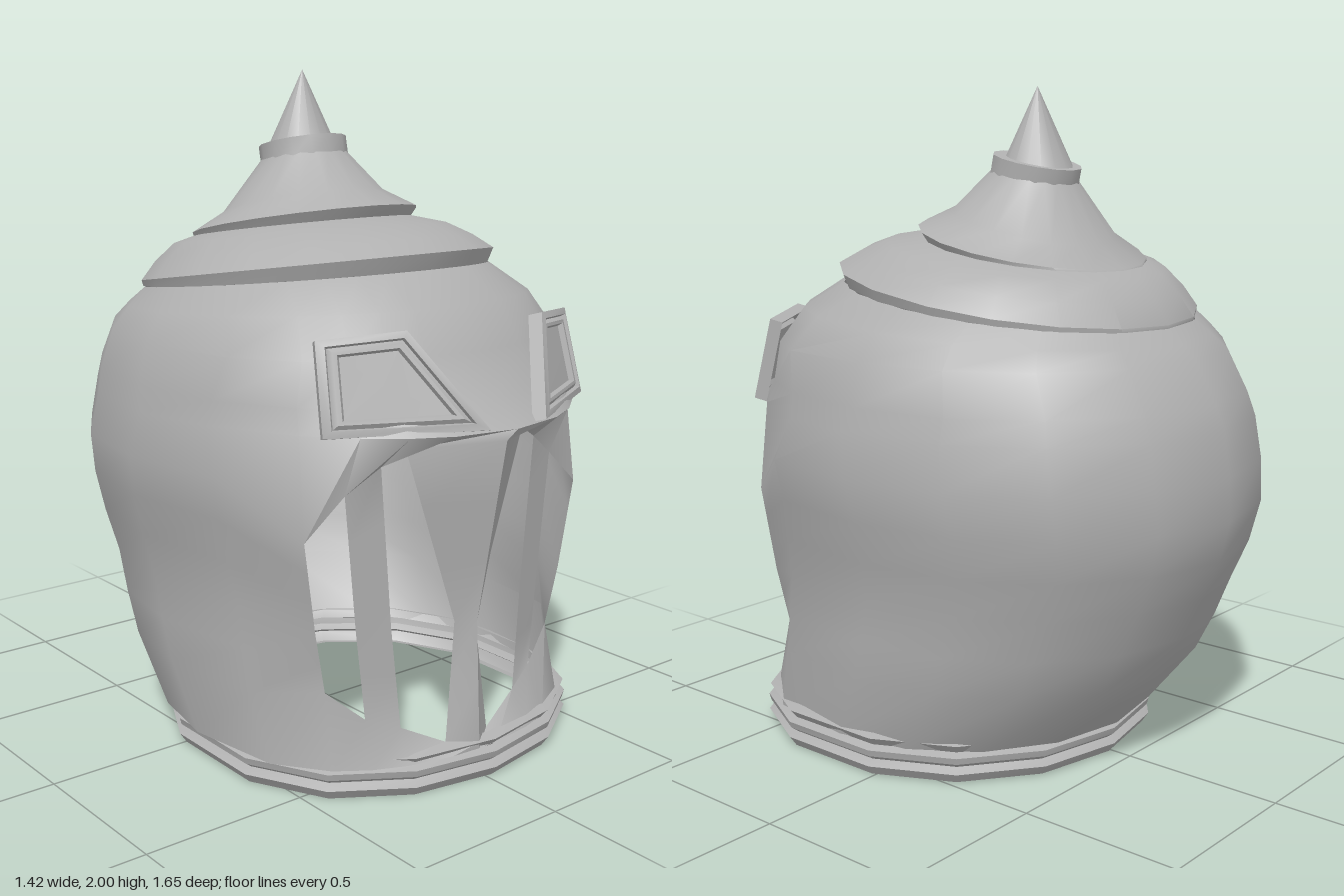
import * as THREE from 'three';
import { toCreasedNormals } from 'three/addons/utils/BufferGeometryUtils.js';

const { lerp, degToRad } = THREE.MathUtils;
const steel = new THREE.MeshStandardMaterial({ color: 0xb0b0b0, side: THREE.DoubleSide });
steel.name = 'steel grey';

// Quad mesh over a grid of points; skip(row, column) leaves an opening
function gridGeometry(rows, skip = () => false) {
  const n = rows[0].length, index = [];
  for (let i = 0; i < rows.length - 1; i++) {
    for (let j = 0; j < n - 1; j++) {
      if (skip(i, j)) continue;
      const a = i * n + j, d = a + n;
      index.push(a, a + 1, d + 1, a, d + 1, d);
    }
  }
  const geo = new THREE.BufferGeometry();
  geo.setAttribute('position', new THREE.Float32BufferAttribute(rows.flat(2), 3));
  geo.setIndex(index);
  return toCreasedNormals(geo, 0.65);
}

function part(name, geo) {
  const mesh = new THREE.Mesh(geo, steel);
  mesh.name = name;
  return mesh;
}

// Horizontal or tilted section: [front y, back y, half width, front z, back z, front roundness]
function sectionPoint([yf, yb, w, zf, zb, p], t) {
  const c = (zf + zb) / 2, d = (zf - zb) / 2, k = Math.cos(t);
  const z = c + d * Math.sign(k) * Math.pow(Math.abs(k), k > 0 ? p : 0.95);
  return [w * Math.sin(t), lerp(yb, yf, (z - zb) / (zf - zb)), z];
}

// Wall profile by height: [y, half width, front z, back z, roundness]
const WALL = [
  [0.10, 0.60, 0.73, -0.45, 0.7],
  [0.33, 0.63, 0.71, -0.645, 0.7],
  [0.55, 0.635, 0.70, -0.74, 0.7],
  [0.75, 0.68, 0.74, -0.83, 0.8],
  [0.92, 0.71, 0.79, -0.82, 0.87],
  [1.05, 0.69, 0.82, -0.80, 1.15],
  [1.12, 0.675, 0.735, -0.77, 0.95],
  [1.24, 0.645, 0.665, -0.70, 0.74],
];
function wallSection(y) {
  let i = 0;
  while (i < WALL.length - 2 && y > WALL[i + 1][0]) i++;
  const A = WALL[i], B = WALL[i + 1], t = (y - A[0]) / (B[0] - A[0]);
  return [y, y, ...[1, 2, 3, 4].map((k) => lerp(A[k], B[k], t))];
}

// Columns of one half: angle above the face, opening bottom and top, and for
// face columns the x and z at bottom, middle and top, plus sideways shift
const HALF = [
  { deg: 0, lo: 0.12, hi: 1.02, x: [0, 0, 0], z: [0.73, 0.71, 0.81], shift: -0.03 },
  { deg: 16, lo: 0.13, hi: 1.0, x: [0.08, 0.04, 0.22], z: [0.685, 0.67, 0.66], shift: -0.04 },
  { deg: 26, lo: 0.20, hi: 0.96, x: [0.22, 0.25, 0.29], z: [0.65, 0.64, 0.64], shift: -0.04 },
  { deg: 36, lo: 0.24, hi: 0.89, x: [0.32, 0.35, 0.39], z: [0.615, 0.61, 0.61], shift: -0.04 },
  { deg: 48, lo: 0.32, hi: 0.77, x: [0.435, 0.475, 0.52], z: [0.55, 0.56, 0.57], shift: -0.015 },
  ...[68, 90, 112, 134, 157, 180].map((deg) => ({ deg, lo: 0.3, hi: 0.92 })),
];
const COLS = [
  ...HALF.slice(1).reverse().map((c) => ({ ...c, side: -1 })),
  ...HALF.map((c) => ({ ...c, side: 1 })),
];
const CENTRE = HALF.length - 1;
const angles = COLS.map((c) => c.side * degToRad(c.deg));

function wallPoint(col, v) {
  const y = lerp(col.lo, col.hi, v);
  if (!col.x) return sectionPoint(wallSection(y), col.side * degToRad(col.deg));
  const along = ([a, b, c]) => (v < 0.4 ? lerp(a, b, v / 0.4) : lerp(b, c, (v - 0.4) / 0.6));
  return [col.side * along(col.x) + col.shift, y, along(col.z)];
}

// Bottom edge of the wall, following the face columns
function footPoint(col) {
  const s = wallSection(0.1);
  const t = col.x ? Math.asin((col.side * col.x[0] + col.shift) / s[2]) : degToRad(col.deg) * col.side;
  return sectionPoint(s, t);
}

// Skull wall with the two barred face openings
function wallGeometry() {
  const steps = [0, 0.2, 0.4, 0.6, 0.8, 1];
  const rows = [COLS.map(footPoint)];
  for (const v of steps) rows.push(COLS.map((c) => wallPoint(c, v)));
  const upper = [
    wallSection(1.05),
    wallSection(1.12),
    wallSection(1.24),
    [1.36, 1.28, 0.59, 0.595, -0.655, 0.82],
    [1.445, 1.32, 0.52, 0.465, -0.605, 0.92],
  ];
  for (const s of upper) rows.push(angles.map((t) => sectionPoint(s, t)));
  return gridGeometry(rows, (i, j) => {
    const k = j >= CENTRE ? j - CENTRE : CENTRE - 1 - j;
    return i >= 1 && i <= steps.length - 1 && (k === 1 || k === 3);
  });
}

// Closed ring loft through sections
function loft(sections, segments) {
  return gridGeometry(sections.map((s) => Array.from({ length: segments + 1 },
    (_, j) => sectionPoint(s, -Math.PI + (j / segments) * Math.PI * 2))));
}

// Raised trapezoid frame around a sunken eye panel
function eyeGeometry(side) {
  const P = [[0.10, 1.06, 0.815], [0.49, 1.05, 0.59], [0.47, 1.30, 0.53], [0.25, 1.32, 0.645]]
    .map((p) => new THREE.Vector3(...p));
  const mid = P.reduce((m, p) => m.addScaledVector(p, 0.25), new THREE.Vector3());
  const normal = P[1].clone().sub(P[0]).cross(P[3].clone().sub(P[0])).normalize();
  // [scale toward the middle, height above the frame plane]
  const steps = [[1, -0.03], [1, 0.01], [0.86, 0.015], [0.83, 0.0], [0.75, 0.01],
    [0.68, 0.01], [0.64, -0.005], [0.001, -0.005]];
  const rows = steps.map(([s, h]) => [0, 1, 2, 3, 0].map((i) => {
    const p = P[i].clone().sub(mid).multiplyScalar(s).add(mid).addScaledVector(normal, h);
    return [p.x * side, p.y, p.z];
  }));
  if (side < 0) rows.forEach((r) => r.reverse());
  return gridGeometry(rows);
}

export function createModel() {
  const helmet = new THREE.Group();
  helmet.name = 'helmet';
  helmet.add(part('skullWall', wallGeometry()));

  // Stepped crown: each tier overhangs the one below and merges at the back
  helmet.add(part('crownTier', loft([
    [1.445, 1.32, 0.52, 0.465, -0.605, 0.92],
    [1.495, 1.33, 0.53, 0.485, -0.605, 0.92],
    [1.53, 1.395, 0.485, 0.42, -0.56, 1],
    [1.56, 1.455, 0.42, 0.33, -0.505, 1],
    [1.575, 1.475, 0.345, 0.20, -0.45, 1],
  ], 18)));
  helmet.add(part('crownCone', loft([
    [1.575, 1.475, 0.345, 0.20, -0.45, 1],
    [1.61, 1.48, 0.355, 0.22, -0.445, 1],
    [1.655, 1.545, 0.25, 0.12, -0.365, 1],
    [1.775, 1.72, 0.125, -0.005, -0.25, 1],
  ], 18)));

  // Tilted collar and finial spike
  const collar = part('collar', toCreasedNormals(new THREE.CylinderGeometry(0.135, 0.135, 0.06, 14), 0.65));
  collar.position.set(0, 1.755, -0.125);
  collar.rotation.x = -0.21;
  helmet.add(collar);
  const spike = part('spike', new THREE.ConeGeometry(0.115, 0.25, 16));
  spike.position.set(0, 1.875, -0.13);
  helmet.add(spike);

  // Ribbed neck rim
  const RIM = [[0.015, -0.04], [0.005, 0], [0.035, 0.02], [0.05, -0.005], [0.065, 0.015],
    [0.085, 0.02], [0.095, -0.005], [0.12, 0.015], [0.13, -0.02]];
  const rim = part('neckRim', loft(RIM.map(([y, o]) =>
    [y, y + 0.005, 0.59 + o, 0.73 + o, -0.435 - o, 0.75]), 14));
  rim.position.x = 0.02;
  helmet.add(rim);

  for (const side of [1, -1]) {
    helmet.add(part(side > 0 ? 'leftEyeFrame' : 'rightEyeFrame', eyeGeometry(side)));
  }
  return helmet;
}
